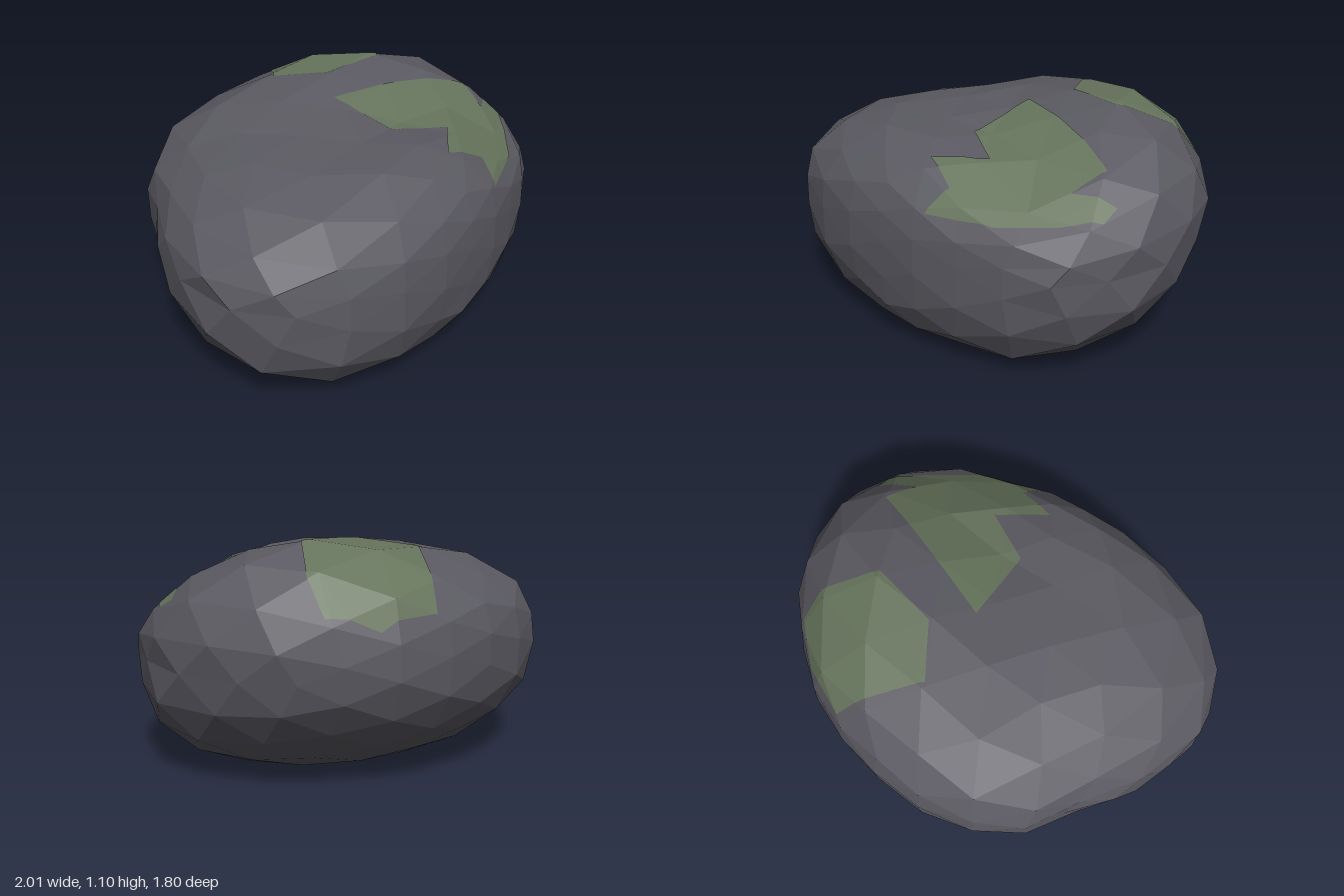
import * as THREE from 'three';

// Widest outline of the boulder, [x, z] going once around
const OUTLINE = [
  [1.02, -0.1], [0.98, 0.15], [0.91, 0.3], [0.68, 0.5], [0.4, 0.67], [0.15, 0.79], [-0.2, 0.88],
  [-0.39, 0.91], [-0.58, 0.88], [-0.77, 0.79], [-0.89, 0.67], [-1, 0.5], [-1.02, 0.18], [-0.98, 0],
  [-0.91, -0.22], [-0.86, -0.45], [-0.79, -0.57], [-0.68, -0.68], [-0.56, -0.76], [-0.3, -0.86],
  [0, -0.91], [0.3, -0.88], [0.43, -0.83], [0.69, -0.69], [0.81, -0.58], [0.89, -0.47], [0.97, -0.3],
];
// Convex moss areas seen from above, [x, z]
const BACK_MOSS = [[[0.03, -0.86], [0.3, -0.84], [0.51, -0.74], [0.52, -0.61], [0.4, -0.35], [0.08, -0.3], [-0.14, -0.47]]];
const SIDE_MOSS = [
  [[0, -0.1], [0.77, -0.1], [0.77, 0.07], [0.4, 0.28], [0.13, 0.24]],
  [[0.25, 0.5], [0.4, 0.28], [0.77, 0.07], [0.85, 0.17], [0.45, 0.49]],
  [[0.45, 0.49], [0.85, 0.17], [0.7, 0.4], [0.45, 0.61]],
  [[0.77, 0.07], [0.9, -0.08], [0.93, 0], [0.85, 0.17]],
];
const MID = 0.55;

const bump = (u, v) => Math.exp(-u * u - v * v);

// Distance from the axis to the outline along direction (dx, dz)
function outlineRadius(dx, dz) {
  for (let i = 0; i < OUTLINE.length; i++) {
    const [ax, az] = OUTLINE[i], [bx, bz] = OUTLINE[(i + 1) % OUTLINE.length];
    const ca = ax * dz - az * dx, cb = bx * dz - bz * dx;
    if (ca >= 0 && cb <= 0 && ca - cb > 1e-9) {
      const t = ca / (ca - cb);
      const x = ax + (bx - ax) * t, z = az + (bz - az) * t;
      if (x * dx + z * dz > 0) return Math.hypot(x, z);
    }
  }
  return 0.9;
}

// Height of the crown: raised back, shallow valley, hollow at the front left
function crown(x, z) {
  return 0.99 + 0.03 * x
    + 0.125 * bump((x - 0.4) / 0.85, (z + 0.47) / 0.4)
    + 0.03 * bump((x - 0.1) / 0.4, (z - 0.6) / 0.25)
    - 0.05 * bump((x - 0.2) / 0.35, (z - 0.2) / 0.22)
    - 0.15 * bump((x - 0.83) / 0.3, (z - 0.23) / 0.24)
    - 0.08 * bump((x - 0.6) / 0.2, (z - 0.55) / 0.2);
}

// Moves a point of the unit sphere onto the boulder
function shape(p) {
  const s = Math.hypot(p.x, p.z), up = p.y >= 0;
  const right = Math.max(0, p.x), left = Math.max(0, -p.x), back = Math.max(0, -p.z);
  // Fuller shoulders at the back, fuller foot at the front and a deep undercut at one back corner
  const power = up
    ? 2.8 + 0.9 * back + 0.2 * right - 0.25 * left
    : 2.25 + 0.3 * p.z + 0.35 * Math.abs(p.x) - 1.1 * right * back;
  const n = Math.pow(Math.pow(s, power) + Math.pow(Math.abs(p.y), power), 1 / power);
  const h = p.y / n;
  const rough = 1 + 0.01 * Math.sin(p.x * 17 + p.y * 11) * Math.sin(p.z * 15 - p.y * 9 + 1);
  const r = s < 1e-6 ? 0 : (s / n) * outlineRadius(p.x / s, p.z / s) * rough;
  const x = s < 1e-6 ? 0 : (p.x / s) * r;
  let z = s < 1e-6 ? 0 : (p.z / s) * r, y;
  if (up) {
    y = MID + (crown(x, z) - MID) * h * rough;
  } else {
    // Undercut back and a flat base
    y = Math.max(0, MID + 0.62 * h);
    z += 0.13 * h * h;
  }
  p.set(x, y, z);
}

function boulderGeometry() {
  const g = new THREE.IcosahedronGeometry(1, 3);
  g.rotateY(0.3);
  g.deleteAttribute('uv');
  const pos = g.attributes.position, p = new THREE.Vector3();
  for (let i = 0; i < pos.count; i++) {
    p.fromBufferAttribute(pos, i);
    // Shared corners must land on the same spot
    p.set(Math.round(p.x * 1e5) / 1e5, Math.round(p.y * 1e5) / 1e5, Math.round(p.z * 1e5) / 1e5);
    shape(p);
    pos.setXYZ(i, p.x, p.y, p.z);
  }
  g.computeBoundingBox();
  const { min, max } = g.boundingBox;
  g.translate(-(min.x + max.x) / 2, -min.y, -(min.z + max.z) / 2);
  g.computeVertexNormals();
  return g;
}

// Cuts a polygon in space by a convex area in plan
function clip(poly, area) {
  const cx = area.reduce((a, q) => a + q[0], 0) / area.length;
  const cz = area.reduce((a, q) => a + q[1], 0) / area.length;
  area.forEach(([ax, az], i) => {
    const [bx, bz] = area[(i + 1) % area.length];
    const side = (x, z) => (bx - ax) * (z - az) - (bz - az) * (x - ax);
    const sign = Math.sign(side(cx, cz)), out = [];
    poly.forEach((a, k) => {
      const b = poly[(k + 1) % poly.length];
      const da = sign * side(a.x, a.z), db = sign * side(b.x, b.z);
      if (da >= 0) out.push(a);
      if (da * db < 0) out.push(a.clone().lerp(b, da / (da - db)));
    });
    poly = out;
  });
  return poly;
}

// Thin moss skin lying just above the upward faces of the rock
function mossGeometry(rock, areas) {
  const pos = rock.attributes.position, verts = [];
  const tri = new THREE.Triangle(), normal = new THREE.Vector3();
  for (let i = 0; i < pos.count; i += 3) {
    tri.setFromAttributeAndIndices(pos, i, i + 1, i + 2);
    tri.getNormal(normal);
    if (normal.y < 0.05) continue;
    for (const area of areas) {
      const poly = clip([tri.a.clone(), tri.b.clone(), tri.c.clone()], area);
      for (let k = 1; k + 1 < poly.length; k++) {
        for (const q of [poly[0], poly[k], poly[k + 1]]) verts.push(q.x, q.y + 0.004, q.z);
      }
    }
  }
  const g = new THREE.BufferGeometry();
  g.setAttribute('position', new THREE.Float32BufferAttribute(verts, 3));
  g.computeVertexNormals();
  return g;
}

export function createModel() {
  const group = new THREE.Group();
  group.name = 'mossyBoulder';
  const stone = new THREE.MeshStandardMaterial({ color: 0x5b5a62, flatShading: true });
  stone.name = 'greyStone';
  const moss = new THREE.MeshStandardMaterial({ color: 0x66745c, flatShading: true });
  moss.name = 'greenMoss';

  const add = (name, geometry, material) => {
    const mesh = new THREE.Mesh(geometry, material);
    mesh.name = name;
    group.add(mesh);
  };
  const rock = boulderGeometry();
  add('boulder', rock, stone);
  add('backMoss', mossGeometry(rock, BACK_MOSS), moss);
  add('sideMoss', mossGeometry(rock, SIDE_MOSS), moss);
  return group;
}
